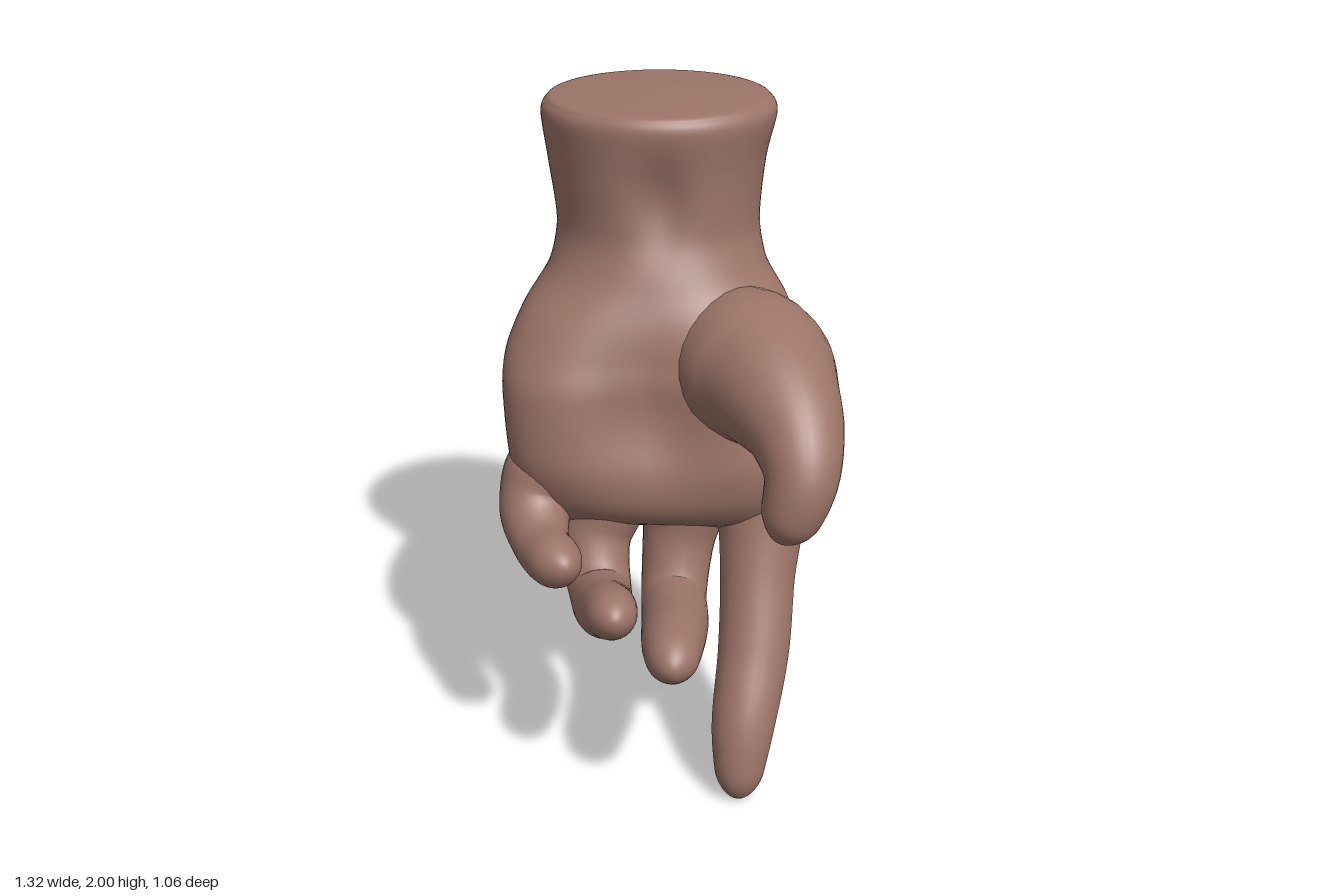
import * as THREE from 'three';

const SIDES = 28;
const skin = new THREE.MeshStandardMaterial({ color: 0x9c7468 });
const V = (x, y, z) => new THREE.Vector3(x, y, z);
const bell = (x, centre, width) => Math.exp(-(((x - centre) / width) ** 2));

// Skin a list of closed rings; each ring runs counter-clockwise about the loft direction
function loft(name, rings) {
  const sides = rings[0].length;
  const index = [];
  for (let i = 0; i < rings.length - 1; i++) {
    for (let j = 0; j < sides; j++) {
      const a = i * sides + j, b = i * sides + (j + 1) % sides;
      index.push(a, b, a + sides, b, b + sides, a + sides);
    }
  }
  const geometry = new THREE.BufferGeometry().setFromPoints(rings.flat());
  geometry.setIndex(index);
  geometry.computeVertexNormals();
  const mesh = new THREE.Mesh(geometry, skin);
  mesh.name = name;
  return mesh;
}

// Tapered finger with a rounded tip; each row is x, y, z, radius
function finger(name, rows, steps = 40) {
  const path = new THREE.CatmullRomCurve3(rows.map(r => V(r[0], r[1], r[2])));
  const radii = new THREE.CatmullRomCurve3(rows.map(r => V(r[3], 0, 0)), false, 'catmullrom');
  const length = path.getLength();
  const frames = path.computeFrenetFrames(200);
  const cap = rows[rows.length - 1][3] * 1.45;
  const rings = [];
  for (let i = 0; i <= steps; i++) {
    const u = Math.sin(i / steps * Math.PI / 2);
    const k = Math.round(u * 200);
    const centre = path.getPointAt(u);
    const left = (1 - u) * length;
    let r = radii.getPoint(path.getUtoTmapping(u)).x;
    if (left < cap) r *= Math.sqrt(Math.max(0, 1 - (1 - left / cap) ** 2));
    const ring = [];
    for (let j = 0; j < SIDES; j++) {
      const a = j / SIDES * Math.PI * 2;
      ring.push(centre.clone()
        .addScaledVector(frames.normals[k], r * Math.cos(a))
        .addScaledVector(frames.binormals[k], r * Math.sin(a)));
    }
    rings.push(ring);
  }
  return loft(name, rings);
}

// Wrist and palm: y, x, z, then reach to thumb side, little-finger side, palm side, back
function wristAndPalm() {
  const rows = [
    [2.0, -0.31, -0.18, 0, 0, 0, 0],
    [1.985, -0.31, -0.18, 0.29, 0.29, 0.29, 0.29],
    [1.97, -0.31, -0.18, 0.335, 0.335, 0.335, 0.335],
    [1.93, -0.31, -0.18, 0.35, 0.35, 0.35, 0.35],
    [1.8, -0.3, -0.165, 0.325, 0.325, 0.325, 0.325],
    [1.62, -0.28, -0.155, 0.305, 0.305, 0.305, 0.305],
    [1.5, -0.235, -0.125, 0.325, 0.33, 0.3, 0.33],
    [1.4, -0.17, -0.065, 0.4, 0.39, 0.27, 0.37],
    [1.3, -0.14, -0.015, 0.43, 0.415, 0.27, 0.355],
    [1.2, -0.1, 0.02, 0.45, 0.425, 0.265, 0.335],
    [1.0, -0.04, 0.045, 0.445, 0.425, 0.225, 0.275],
    [0.88, -0.02, 0.05, 0.42, 0.4, 0.17, 0.22],
    [0.8, -0.02, 0.05, 0.38, 0.36, 0.11, 0.165],
    [0.74, -0.02, 0.05, 0.29, 0.28, 0, 0],
  ];
  const across = V(0.65, 0, -0.76), out = V(0.76, 0, 0.65);
  const curve = (x, y, z) => new THREE.CatmullRomCurve3(
    rows.map(r => V(r[x], r[y], r[z])), false, 'catmullrom', 0.4);
  const centres = curve(1, 0, 2), widths = curve(3, 0, 4), depths = curve(5, 0, 6);
  const steps = (rows.length - 1) * 5, sides = 64;
  const rings = [];
  for (let i = 0; i <= steps; i++) {
    const t = i / steps;
    const c = centres.getPoint(t), width = widths.getPoint(t), depth = depths.getPoint(t);
    // Hollow of the palm and the soft dent inside the wrist
    const hollow = 0.42 * bell(c.y, 1.1, 0.24);
    const dent = 0.14 * bell(c.y, 1.73, 0.12);
    const blocky = 0.28 * (1 - THREE.MathUtils.smoothstep(c.y, 1.35, 1.6));
    const ring = [];
    for (let j = 0; j < sides; j++) {
      const a = j / sides * Math.PI * 2;
      let w = Math.cos(a), n = Math.sin(a);
      // The heel below the little finger is squarer than the rest
      const power = 1 - (w < 0 && n > 0 ? blocky : 0);
      w = Math.sign(w) * Math.abs(w) ** power;
      n = Math.sign(n) * Math.abs(n) ** power;
      if (n > 0) n *= 1 - hollow * bell(w, 0.1, 0.45) - dent * bell(w, 0.12, 0.25);
      ring.push(c.clone()
        .addScaledVector(across, w * Math.max(0, w > 0 ? width.x : width.z))
        .addScaledVector(out, n * Math.max(0, n > 0 ? depth.x : depth.z)));
    }
    rings.push(ring);
  }
  return loft('wristAndPalm', rings);
}

export function createModel() {
  const hand = new THREE.Group();
  hand.name = 'hand';
  hand.add(
    wristAndPalm(),
    finger('thumb', [
      [-0.12, 1.2, -0.18, 0.06],
      [-0.02, 1.23, -0.185, 0.17],
      [0.09, 1.265, -0.18, 0.22],
      [0.21, 1.26, -0.168, 0.22],
      [0.35, 1.24, -0.125, 0.178],
      [0.475, 1.185, -0.085, 0.137],
      [0.555, 1.1, -0.04, 0.106],
      [0.56, 1.0, -0.005, 0.088],
      [0.535, 0.91, 0.015, 0.06],
    ]),
    finger('indexFinger', [
      [0.06, 1.12, -0.12, 0.04],
      [0.12, 0.95, -0.19, 0.11],
      [0.155, 0.8, -0.22, 0.132],
      [0.22, 0.6, -0.165, 0.114],
      [0.295, 0.4, -0.095, 0.108],
      [0.375, 0.2, 0.005, 0.094],
      [0.425, 0.0, 0.06, 0.06],
    ]),
    finger('middleFinger', [
      [0.0, 1.05, -0.03, 0.04],
      [0.0, 0.86, -0.06, 0.13],
      [0.01, 0.68, -0.02, 0.11],
      [0.07, 0.545, 0.04, 0.1],
      [0.2, 0.535, 0.13, 0.1],
      [0.34, 0.56, 0.24, 0.09],
      [0.475, 0.57, 0.34, 0.063],
    ]),
    finger('ringFinger', [
      [-0.1, 1.05, 0.14, 0.04],
      [-0.13, 0.86, 0.145, 0.13],
      [-0.115, 0.7, 0.205, 0.11],
      [-0.02, 0.58, 0.25, 0.095],
      [0.1, 0.6, 0.315, 0.09],
      [0.22, 0.66, 0.375, 0.08],
      [0.335, 0.7, 0.435, 0.06],
    ]),
    finger('littleFinger', [
      [-0.17, 1.1, 0.25, 0.04],
      [-0.21, 0.94, 0.3, 0.125],
      [-0.18, 0.83, 0.37, 0.11],
      [-0.07, 0.77, 0.42, 0.085],
      [0.04, 0.77, 0.445, 0.08],
      [0.14, 0.79, 0.465, 0.062],
    ]),
  );
  return hand;
}
